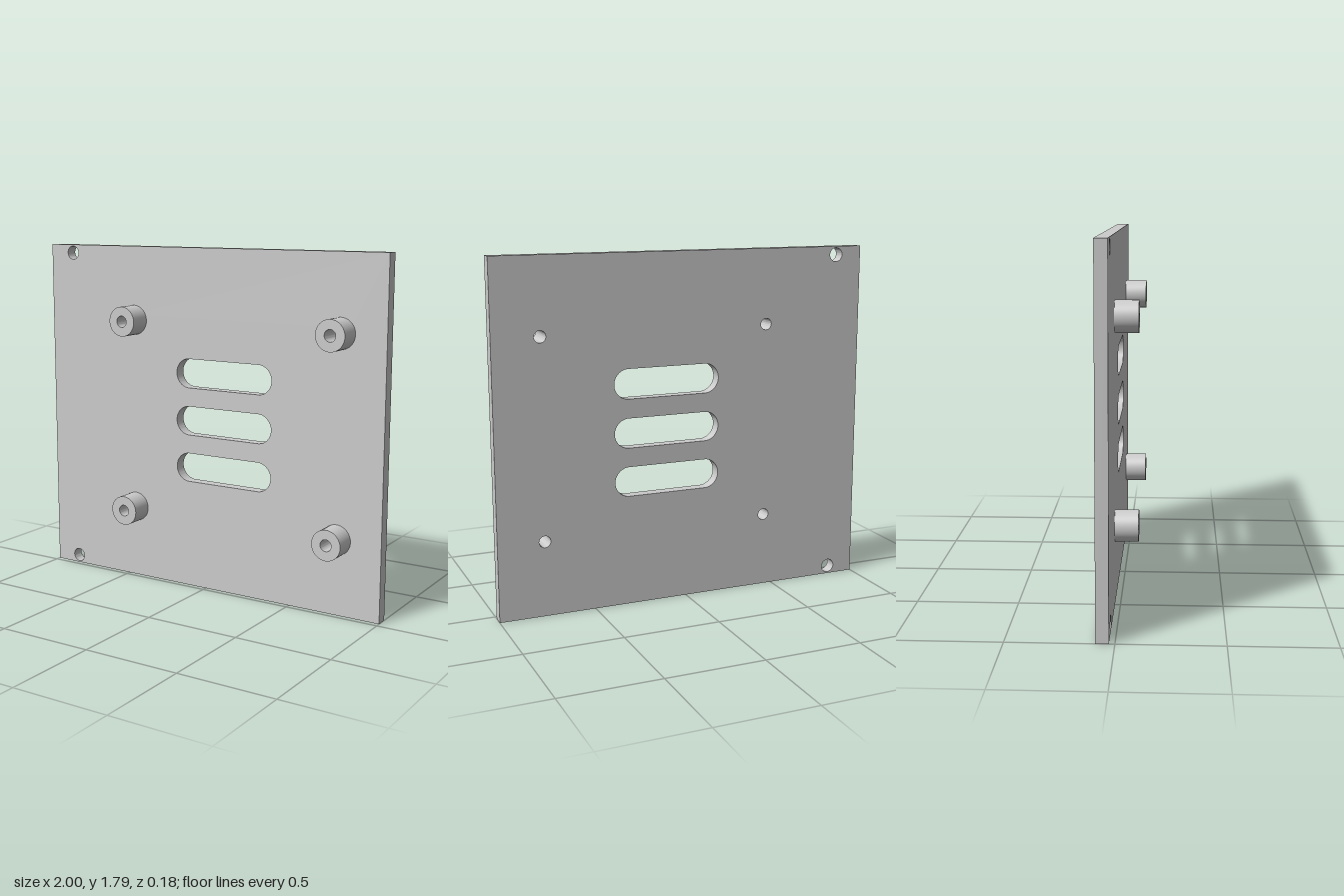
import * as THREE from 'three';
import { toCreasedNormals } from 'three/addons/utils/BufferGeometryUtils.js';

const BACK = -0.088, FACE = -0.027, TIP = 0.088;
const HEIGHT = 1.795, MIDDLE = HEIGHT / 2, BORE = 0.03;

// Round hole or disc outline
function circle(x, y, r, Type = THREE.Path) {
  return new Type().absarc(x, y, r, 0, Math.PI * 2, false);
}

// Horizontal slot with fully rounded ends
function slot(x, y, halfLength, r) {
  const path = new THREE.Path();
  const c = halfLength - r;
  path.absarc(x + c, y, r, -Math.PI / 2, Math.PI / 2, false);
  path.absarc(x - c, y, r, Math.PI / 2, Math.PI * 1.5, false);
  path.closePath();
  return path;
}

// Extrude a shape between two z values, smooth round walls, sharp rims
function slab(shape, z0, z1) {
  const geometry = new THREE.ExtrudeGeometry(shape, { depth: z1 - z0, bevelEnabled: false, curveSegments: 24 });
  geometry.translate(0, 0, z0);
  return toCreasedNormals(geometry, Math.PI / 5);
}

export function createModel() {
  const group = new THREE.Group();
  group.name = 'mountingPlate';
  const grey = new THREE.MeshStandardMaterial({ color: 0xcccccc });
  grey.name = 'lightGrey';

  const add = (name, geometry) => {
    const mesh = new THREE.Mesh(geometry, grey);
    mesh.name = name;
    group.add(mesh);
  };

  const posts = [];
  for (const x of [-0.45, 0.759]) for (const side of [-1, 1]) posts.push([x, MIDDLE + side * 0.51]);

  // Flat plate with vent slots, corner holes and post bores
  const plate = new THREE.Shape();
  plate.moveTo(-1, 0).lineTo(1, 0).lineTo(1, HEIGHT).lineTo(-1, HEIGHT).closePath();
  for (const row of [-1, 0, 1]) plate.holes.push(slot(0.103, MIDDLE + row * 0.25, 0.283, 0.076));
  for (const side of [-1, 1]) plate.holes.push(circle(-0.855, MIDDLE + side * 0.854, 0.036));
  for (const [x, y] of posts) plate.holes.push(circle(x, y, BORE));
  add('plate', slab(plate, BACK, FACE));

  // Hollow standoff posts on the front face
  for (const [x, y] of posts) {
    const ring = circle(x, y, 0.078, THREE.Shape);
    ring.holes.push(circle(x, y, BORE));
    add('standoff', slab(ring, FACE, TIP));
  }
  return group;
}
